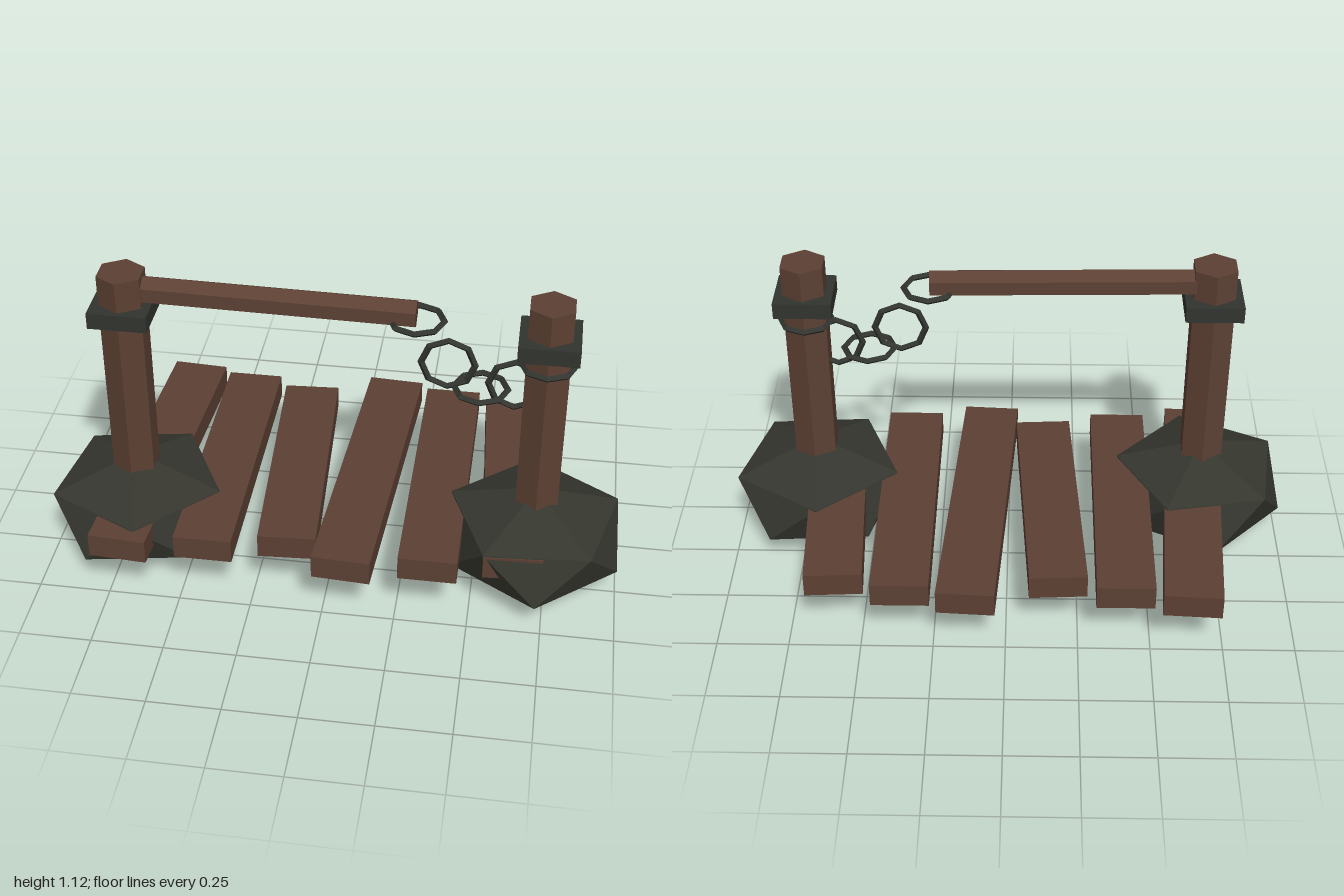
import * as THREE from 'three';
import { ConvexGeometry } from 'three/addons/geometries/ConvexGeometry.js';

const wood = new THREE.MeshStandardMaterial({ color: 0x5c4033, flatShading: true });
wood.name = 'wood';
const stone = new THREE.MeshStandardMaterial({ color: 0x35362e, flatShading: true });
stone.name = 'darkStone';
const iron = new THREE.MeshStandardMaterial({ color: 0x31342f, flatShading: true });
iron.name = 'darkIron';

const POST_X = 0.703, RAIL_Z = 0.193;

function add(parent, name, geometry, material, x, y, z) {
  const mesh = new THREE.Mesh(geometry, material);
  mesh.name = name;
  mesh.position.set(x, y, z);
  parent.add(mesh);
  return mesh;
}

// Flattened twenty-sided boulder: two poles and two staggered rings of five
function boulderGeometry(turn) {
  const r = 0.305, h = 0.193;
  const points = [new THREE.Vector3(0, h, 0), new THREE.Vector3(0, -h, 0)];
  for (let i = 0; i < 10; i++) {
    const a = THREE.MathUtils.degToRad(turn + i * 36);
    const y = (i % 2 ? -1 : 1) * h * 0.447;
    points.push(new THREE.Vector3(Math.cos(a) * r, y, Math.sin(a) * r));
  }
  return new ConvexGeometry(points);
}

export function createModel() {
  const model = new THREE.Group();
  model.name = 'brokenFootbridge';

  // Deck planks: length and skew repeat every three boards
  const lengths = [1.08, 1.0, 0.9], skews = [-0.06, 0, 0.06];
  for (let i = 0; i < 6; i++) {
    const plank = add(model, 'deckPlank', new THREE.BoxGeometry(0.2, 0.087, lengths[i % 3]),
      wood, -0.665 + i * 0.256, 0.234, 0);
    plank.rotation.y = skews[i % 3];
  }

  // Boulder, hexagonal post and square collar on each side
  for (const side of [-1, 1]) {
    const x = side * POST_X;
    const group = new THREE.Group();
    group.name = side < 0 ? 'rightPostGroup' : 'leftPostGroup';
    add(group, 'boulder', boulderGeometry(side < 0 ? 8 : -22), stone, x, 0.195, RAIL_Z);
    add(group, 'post', new THREE.CylinderGeometry(0.083, 0.083, 0.925, 6), wood, x, 0.6625, RAIL_Z);
    add(group, 'collar', new THREE.BoxGeometry(0.2, 0.058, 0.195), iron, x, 0.986, RAIL_Z);
    model.add(group);
  }

  // Broken handrail, sagging slightly away from its post
  const rail = new THREE.CylinderGeometry(0.049, 0.049, 0.95, 6);
  rail.rotateY(Math.PI / 2);
  rail.rotateZ(Math.PI / 2);
  add(model, 'handrail', rail, wood, -0.205, 1.056, 0.189).rotation.z = -0.015;

  // Chain links, alternately flat and upright
  const links = [[0.272, 1.028], [0.378, 0.867], [0.49, 0.782], [0.602, 0.805], [0.703, 0.897]];
  const linkGeometry = new THREE.TorusGeometry(0.089, 0.012, 4, 8);
  links.forEach(([x, y], i) => {
    const link = add(model, 'chainLink', linkGeometry, iron, x, y, 0.191);
    if (i % 2 === 0) link.rotation.x = Math.PI / 2;
  });

  return model;
}
